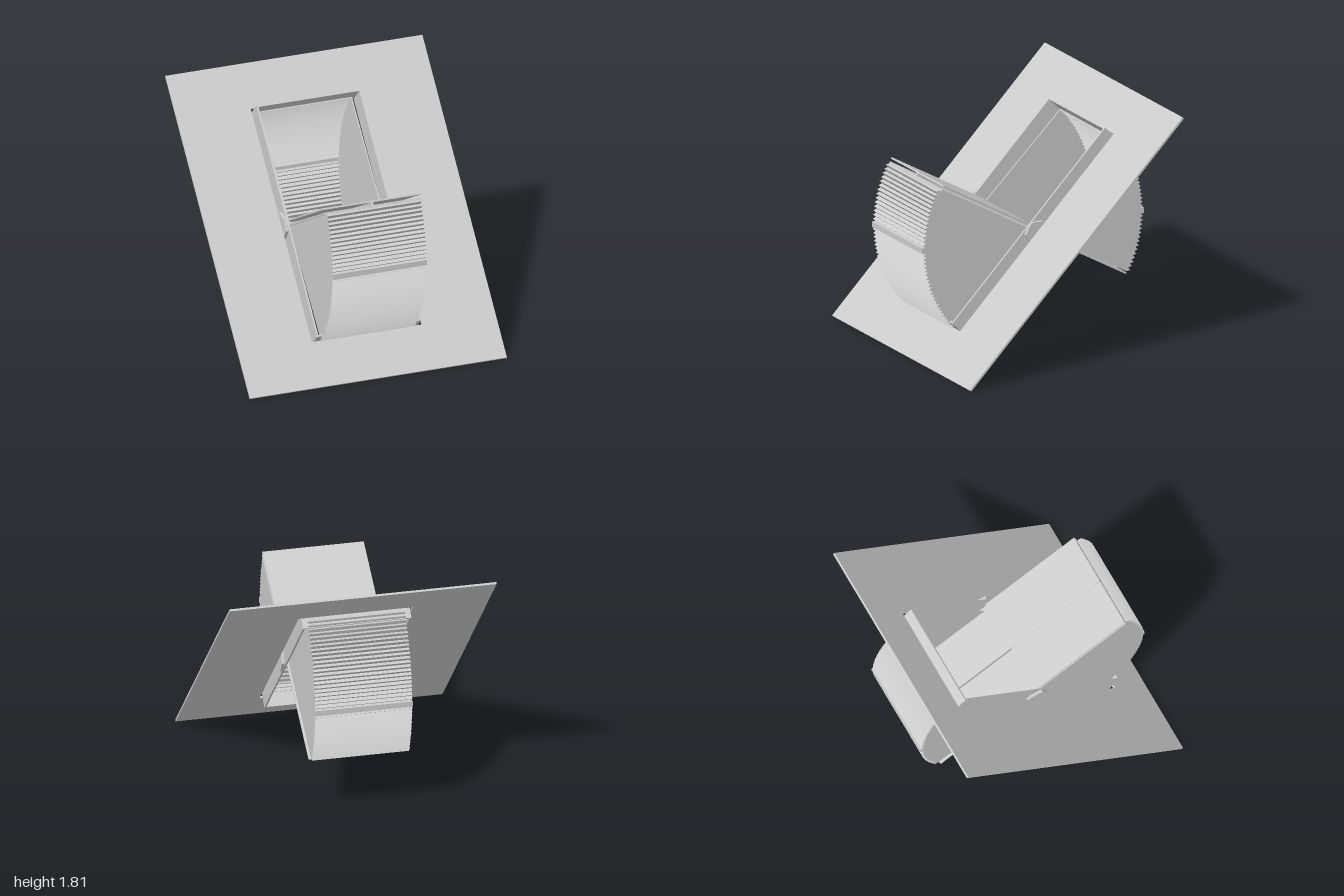
import * as THREE from 'three';

const DEG = Math.PI / 180;
const material = new THREE.MeshStandardMaterial({ color: 0xcccccc, flatShading: true, side: THREE.DoubleSide });

function add(parent, name, geometry, x = 0, y = 0, z = 0) {
  const mesh = new THREE.Mesh(geometry, material);
  mesh.name = name;
  mesh.position.set(x, y, z);
  parent.add(mesh);
  return mesh;
}

function rect(PathType, w, h) {
  const p = new PathType();
  p.moveTo(-w, -h);
  p.lineTo(w, -h);
  p.lineTo(w, h);
  p.lineTo(-w, h);
  p.closePath();
  return p;
}

// Rectangular ring in the local xy plane, given half sizes
function ring(w, h, holeW, holeH, depth) {
  const shape = rect(THREE.Shape, w, h);
  shape.holes.push(rect(THREE.Path, holeW, holeH));
  return new THREE.ExtrudeGeometry(shape, { depth, bevelEnabled: false }).translate(0, 0, -depth / 2);
}

// Side profile (z, y) extruded across x and centred
function across(points, width) {
  return new THREE.ExtrudeGeometry(new THREE.Shape(points), { depth: width, bevelEnabled: false })
    .translate(0, 0, -width / 2)
    .rotateY(-Math.PI / 2);
}

// Toothed arc with a plain band at angle zero
function toothedArc(inset) {
  const pts = [];
  const polar = (r, a) => pts.push(new THREE.Vector2(Math.cos(a * DEG), Math.sin(a * DEG)).multiplyScalar(r - inset));
  const teeth = (from, to, count) => {
    const step = (to - from) / count;
    for (let i = 0; i < count; i++) {
      polar(0.908, from + i * step);
      polar(0.933, from + (i + 0.5) * step);
    }
    polar(0.908, to);
  };
  teeth(-43.5, -1.4, 22);
  polar(0.94, -1.3);
  polar(0.94, 1.3);
  teeth(1.4, 29.3, 14);
  return pts;
}

export function createModel() {
  const model = new THREE.Group();
  model.name = 'pivotingRoofWindow';

  // Sloping roof panel with opening, and the box frame inside it
  const roof = new THREE.Group();
  roof.name = 'roof';
  roof.position.y = 0.907;
  roof.rotation.x = -45 * DEG;
  model.add(roof);
  add(roof, 'roofPanel', ring(1, 1.274, 0.428, 0.92, 0.016));
  add(roof, 'openingFrame', ring(0.406, 0.914, 0.392, 0.9, 0.172));

  const pivot = new THREE.Group();
  pivot.name = 'pivotingWindow';
  pivot.position.y = 0.905;
  model.add(pivot);

  // Hexagonal pivot plates
  for (const side of [-1, 1]) {
    const hub = new THREE.CylinderGeometry(0.1, 0.1, 0.022, 6).rotateZ(Math.PI / 2);
    add(pivot, 'pivotPlate', hub, side * 0.417);
  }

  // Tilted leaf: full base sheet, raised front sheet, centre bar
  const leaf = new THREE.Group();
  leaf.name = 'leaf';
  leaf.rotation.x = -30 * DEG;
  pivot.add(leaf);
  add(leaf, 'baseSheet', new THREE.BoxGeometry(0.76, 0.014, 1.8), 0, -0.003, 0);
  add(leaf, 'frontSheet', new THREE.BoxGeometry(0.76, 0.012, 0.86), 0, 0.031, 0.475);
  add(leaf, 'centreBar', new THREE.BoxGeometry(0.02, 0.038, 1.8), 0, 0.021, 0);

  // Two opposite drum sectors: ribbed curved shell between flat cheeks
  const outer = toothedArc(0);
  const inner = toothedArc(0.014);
  const shell = across([...outer, ...inner.reverse()], 0.724);
  const cheek = across([new THREE.Vector2(0, 0), ...outer], 0.01);
  for (const turn of [0, Math.PI]) {
    const sector = new THREE.Group();
    sector.name = turn ? 'backSector' : 'frontSector';
    sector.rotation.x = turn;
    add(sector, 'ribbedShell', shell);
    for (const side of [-1, 1]) add(sector, 'cheek', cheek, side * 0.359);
    pivot.add(sector);
  }

  return model;
}
